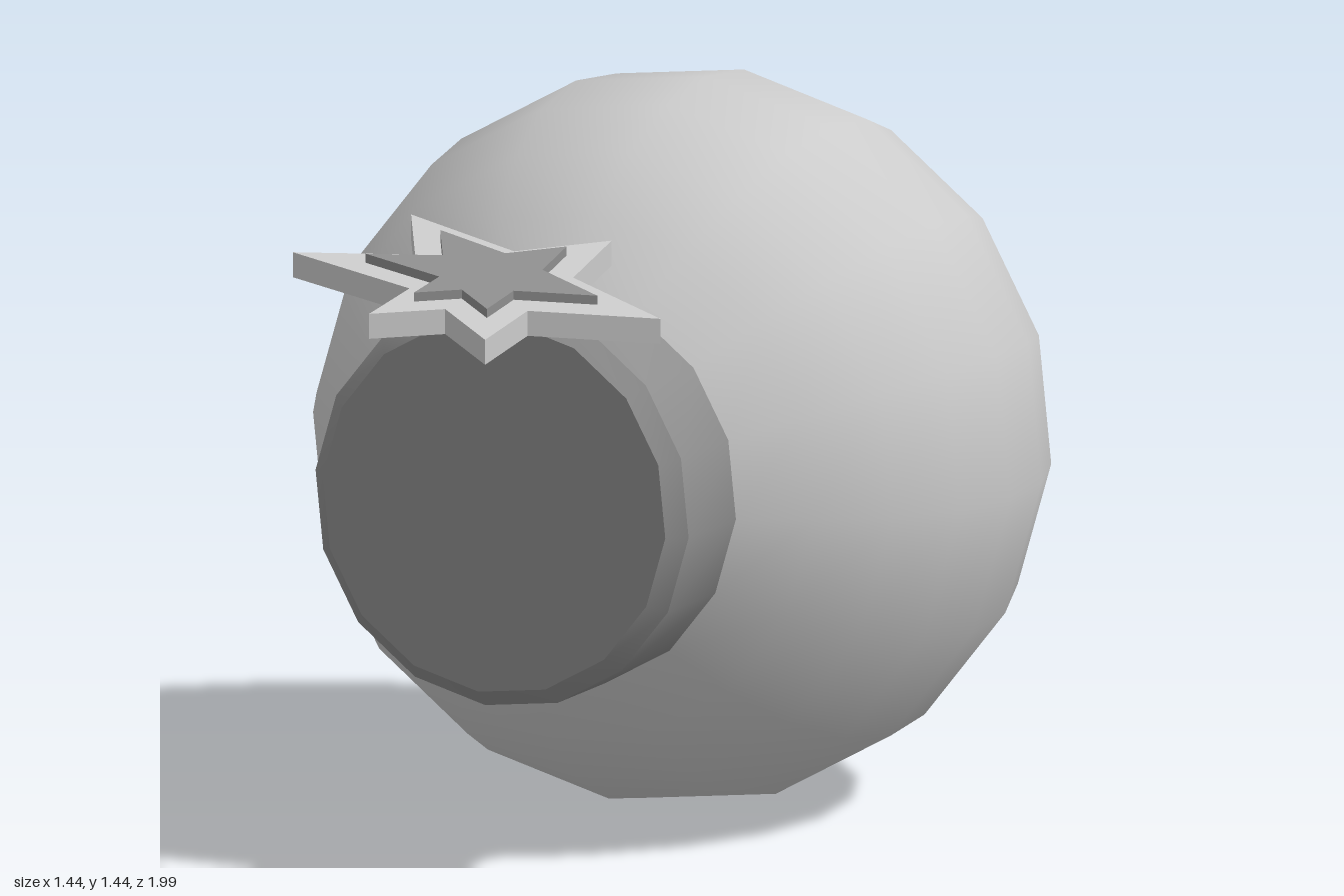
import * as THREE from 'three';
import { toCreasedNormals } from 'three/addons/utils/BufferGeometryUtils.js';

const SIDES = 16;
const light = new THREE.MeshStandardMaterial({ color: 0xcccccc });
const dark = new THREE.MeshStandardMaterial({ color: 0x8e8e8e });

// Star outline seen from above as [x, z], alternating tip and notch
const STAR = [
  [0.14, 0.34], [0.165, 0.57], [0.40, 0.67], [0.17, 0.79], [0.17, 0.985], [0.035, 0.88],
  [-0.075, 0.995], [-0.07, 0.82], [-0.34, 0.78], [-0.14, 0.645], [-0.24, 0.45], [0.01, 0.51],
];
const STAR_CENTRE = [0.04, 0.685];

function addMesh(parent, name, geometry, material) {
  const mesh = new THREE.Mesh(geometry, material);
  mesh.name = name;
  parent.add(mesh);
  return mesh;
}

// Surface of revolution whose axis points forward along +z
function lathe(points) {
  return new THREE.LatheGeometry(points.map(([r, y]) => new THREE.Vector2(r, y)), SIDES)
    .rotateX(Math.PI / 2);
}

// Star plate between two heights, measured from the sloping plane of the spark
function starPlate(scale, bottom, top) {
  const [cx, cz] = STAR_CENTRE;
  const shape = new THREE.Shape(STAR.map(([x, z]) =>
    new THREE.Vector2(cx + (x - cx) * scale, -(cz + (z - cz) * scale))));
  const geometry = new THREE.ExtrudeGeometry(shape, { depth: top - bottom, bevelEnabled: false });
  geometry.rotateX(-Math.PI / 2).translate(0, bottom, 0);
  // Slope down to the left and to the front
  return geometry.applyMatrix4(new THREE.Matrix4().set(
    1, 0, 0, 0,
    -0.125, 1, -0.085, 1.306,
    0, 0, 1, 0,
    0, 0, 0, 1,
  ));
}

export function createModel() {
  const model = new THREE.Group();
  model.name = 'roundBomb';

  // Ball and neck share one axis, rolled and tipped slightly upward
  const body = new THREE.Group();
  body.name = 'body';
  body.position.set(0, 0.725, -0.28);
  body.rotation.set(-0.045, 0, -0.07);
  model.add(body);

  // Ball, from the flat patch at the back round to the neck
  const R = 0.723;
  const profile = [[0, -R * Math.cos(THREE.MathUtils.degToRad(8))]];
  for (let k = 0; k <= 9; k++) {
    const a = THREE.MathUtils.degToRad(8 + 14 * k);
    profile.push([R * Math.sin(a), -R * Math.cos(a)]);
  }
  profile.push([0.4, 0.602]);
  addMesh(body, 'ball', lathe(profile), light);

  // Neck with a bevelled front rim
  const neck = lathe([[0, 0.58], [0.4, 0.58], [0.403, 0.825], [0.37, 0.862], [0, 0.862]]);
  addMesh(body, 'neck', toCreasedNormals(neck, 0.6), dark);

  // Star-shaped spark in two layers
  const spark = new THREE.Group();
  spark.name = 'spark';
  model.add(spark);
  addMesh(spark, 'outerStar', starPlate(1, -0.05, 0), light);
  addMesh(spark, 'innerStar', starPlate(0.63, -0.01, 0.018), dark);

  return model;
}
